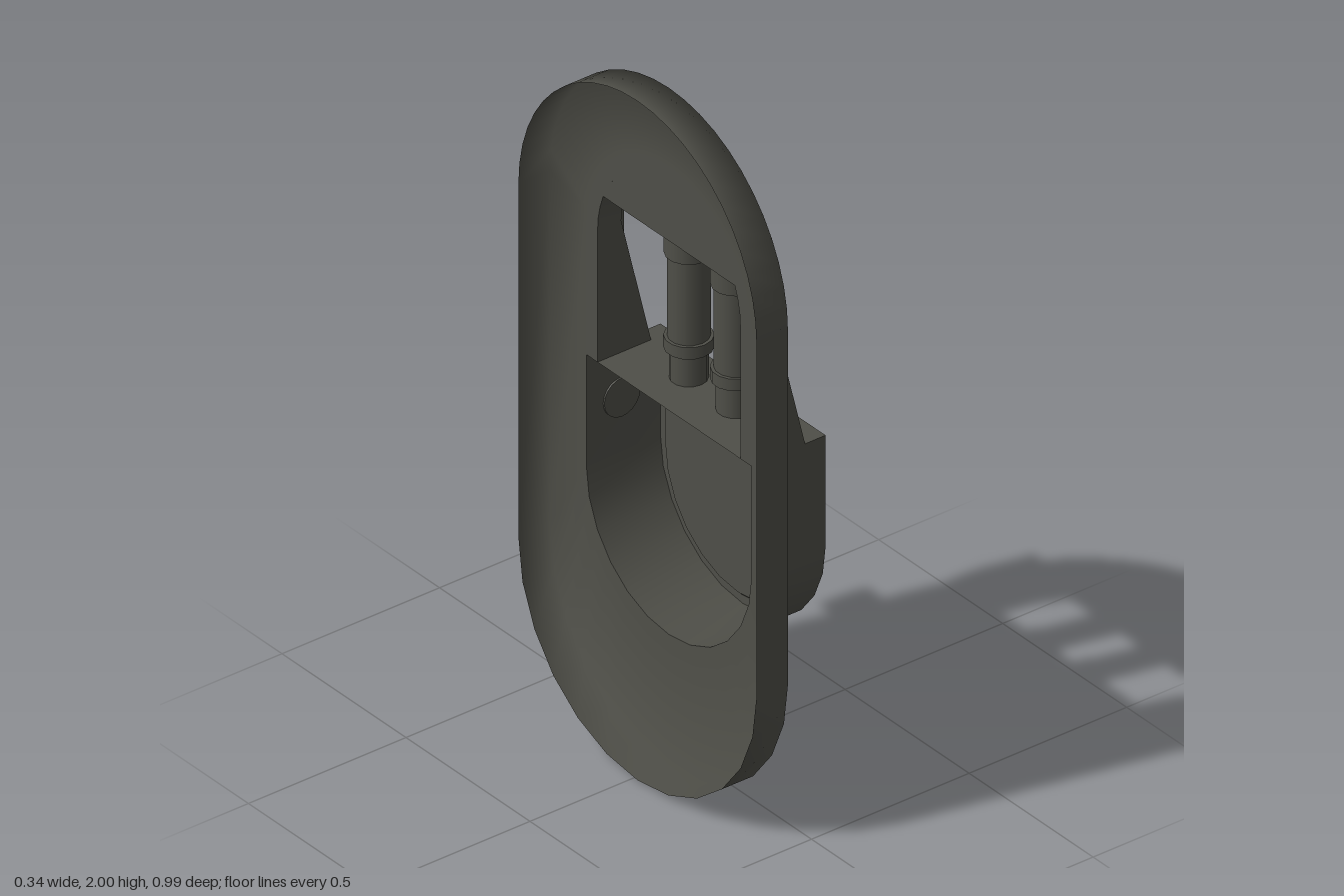
import * as THREE from 'three';

const CZ = 0.014;                       // centre line of plate and housing
const BACK = -0.17, FACE = -0.07, FRONT = 0.165, ARCH = 0.005, SHELF = 1.05;

export function createModel() {
  const metal = new THREE.MeshStandardMaterial({ color: 0x4f4f48, side: THREE.DoubleSide });
  metal.name = 'dark olive grey metal';
  const model = new THREE.Group();
  model.name = 'leverPanel';

  const add = (name, geometry, parent = model, x = 0, y = 0, z = 0) => {
    const mesh = new THREE.Mesh(geometry, metal);
    mesh.name = name;
    mesh.position.set(x, y, z);
    parent.add(mesh);
    return mesh;
  };

  // Skin between equally long rows of [x, y, z] points
  const loft = (rows, closed) => {
    const n = rows[0].length, index = [];
    for (let r = 0; r < rows.length - 1; r++) {
      for (let i = 0; i < (closed ? n : n - 1); i++) {
        const a = r * n + i, b = r * n + (i + 1) % n;
        index.push(a, b, a + n, b, b + n, a + n);
      }
    }
    const g = new THREE.BufferGeometry();
    g.setAttribute('position', new THREE.Float32BufferAttribute(rows.flat(2), 3));
    g.setIndex(index);
    g.computeVertexNormals();
    return g;
  };

  // Arc in the y-z plane at depth x
  const arc = (r, cy, from, to, steps, x) => Array.from({ length: steps + 1 }, (_, i) => {
    const a = from + (to - from) * i / steps;
    return [x, cy + r * Math.sin(a), CZ + r * Math.cos(a)];
  });
  const lower = (r, cy, x) => arc(r, cy, Math.PI, 2 * Math.PI, 12, x);
  const upper = (r, cy, x) => arc(r, cy, 0, Math.PI, 24, x);
  const setX = (row, x) => row.map(([, y, z]) => [x, y, z]);

  // Back plate: hollow pressed sheet with a softly shaded edge
  const R = 0.333, LOW = 0.723, HIGH = 1.437, WINDOW = 0.288;
  const stadium = (r, lo, hi, x) => [...lower(r, lo, x), ...upper(r, hi, x)];
  add('backPlate', loft([
    stadium(0.48, 0.48, 1.52, BACK),
    stadium(0.48, 0.48, 1.52, FACE),
    stadium(R, LOW, HIGH, FACE),
  ], true));

  // Housing wall: deep below the shelf, sloping back to a shallow arch above
  const archRow = (r) => [[0.1, SHELF, CZ + r], ...upper(r, HIGH, ARCH), [0.1, SHELF, CZ - r]];
  const wallFront = [...lower(R, LOW, FRONT), [FRONT, SHELF, CZ + R], ...archRow(R), [FRONT, SHELF, CZ - R]];
  add('housingWall', loft([setX(wallFront, FACE), wallFront], true));
  add('archRim', loft([archRow(R), archRow(WINDOW)], false));
  add('archInnerWall', loft([archRow(WINDOW), setX(archRow(WINDOW), FACE)], false));
  add('archBackRim', loft([setX(archRow(R), FACE), setX(archRow(WINDOW), FACE)], false));
  add('shelf', loft([
    [[FACE, SHELF, CZ + R], [FACE, SHELF, CZ - R]],
    [[FRONT, SHELF, CZ + R], [FRONT, SHELF, CZ - R]],
  ], false));

  // Recessed front cover with a bevelled frame
  const cover = (r, top, x) => [...lower(r, LOW, x), [x, top, CZ + r], [x, top, CZ - r]];
  const edge = cover(R, SHELF, FRONT), lip = cover(0.308, 1.028, FRONT), inset = cover(0.294, 1.02, 0.15);
  add('coverFrame', loft([edge, lip], true));
  add('coverBevel', loft([lip, inset], true));
  add('coverPanel', loft([inset, inset.map(() => [0.15, 0.8, CZ])], true));

  // Panel closing the top of the arch
  const lunette = new THREE.Shape();
  lunette.absarc(0, 0, WINDOW, 0.4, Math.PI - 0.4, false);
  lunette.closePath();
  const lunetteGeometry = new THREE.ExtrudeGeometry(lunette, { depth: 0.04, bevelEnabled: false, curveSegments: 24 });
  lunetteGeometry.rotateY(Math.PI / 2);
  add('archPanel', lunetteGeometry, model, FACE, HIGH, CZ);

  // Two upright levers with collar and knob
  const cylinder = (rTop, rBottom, h, sides = 14) => new THREE.CylinderGeometry(rTop, rBottom, h, sides);
  for (const [name, z] of [['leftLever', 0.108], ['rightLever', -0.08]]) {
    const lever = new THREE.Group();
    lever.name = name;
    lever.position.set(0.067, 0, z);
    model.add(lever);
    add('leverFoot', cylinder(0.05, 0.05, 0.1), lever, 0, 1.095);
    add('leverShaft', cylinder(0.055, 0.055, 0.27), lever, 0, 1.295);
    add('leverCollar', cylinder(0.064, 0.064, 0.035), lever, 0, 1.157);
    add('leverKnob', cylinder(0.063, 0.063, 0.15), lever, 0, 1.493);
    add('leverKnobTop', cylinder(0.056, 0.063, 0.012), lever, 0, 1.574);
  }

  // Side handle: pivot, shaft and square grip
  const handle = new THREE.Group();
  handle.name = 'sideHandle';
  handle.position.set(0.04, 0, -0.412);
  model.add(handle);
  add('handlePivot', cylinder(0.057, 0.057, 0.186, 20), handle, 0, 0.885, 0.005).rotation.x = Math.PI / 2;
  add('handleShaft', cylinder(0.036, 0.036, 0.32, 12), handle, 0, 1.07);
  const square = (top, bottom, h) => {
    const g = new THREE.CylinderGeometry(top * Math.SQRT1_2, bottom * Math.SQRT1_2, h, 4).toNonIndexed();
    g.rotateY(Math.PI / 4);
    g.computeVertexNormals();
    return g;
  };
  add('handleGripTaper', square(0.092, 0.06, 0.05), handle, 0, 1.21);
  add('handleGrip', square(0.092, 0.092, 0.195), handle, 0, 1.3325);
  add('handleGripTop', square(0.08, 0.092, 0.01), handle, 0, 1.435);

  return model;
}
